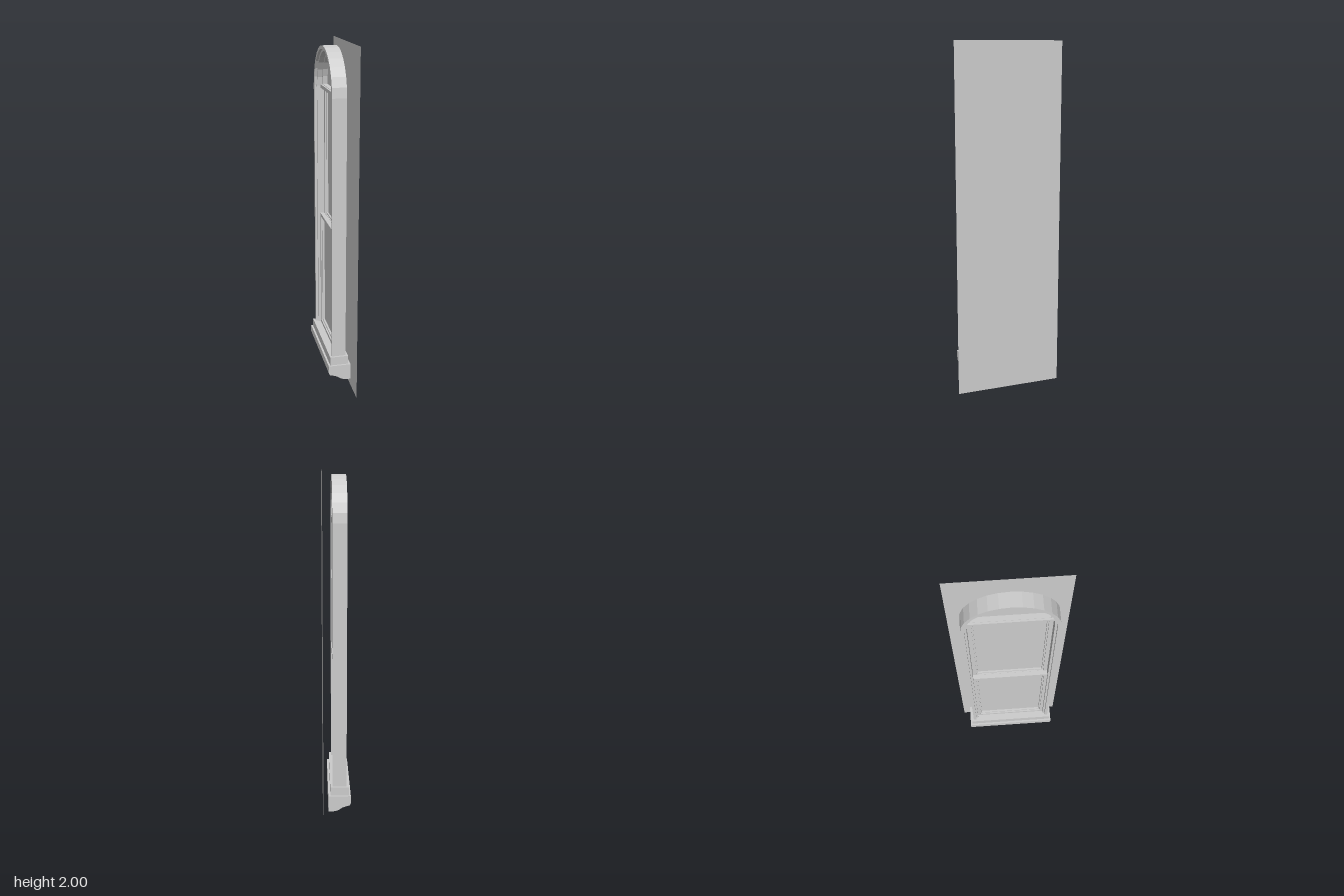
import * as THREE from 'three';

const grey = new THREE.MeshStandardMaterial({ color: 0xcccccc, flatShading: true, side: THREE.DoubleSide });
const CZ = 0.004;      // middle of the window along z
const SPRING = 1.736;  // height where the arch starts

// Outline in the (z, y) plane: a rectangle, or with arched = true a round-headed opening.
function outline(half, bottom, top, arched) {
  const pts = [new THREE.Vector2(-half, bottom), new THREE.Vector2(half, bottom)];
  if (arched) {
    for (let i = 0; i <= 14; i++) {
      const a = (Math.PI * i) / 14;
      pts.push(new THREE.Vector2(half * Math.cos(a), top + half * Math.sin(a)));
    }
  } else {
    pts.push(new THREE.Vector2(half, top), new THREE.Vector2(-half, top));
  }
  return pts;
}

// Extrude an outline, with an optional opening, between two x positions.
function slab(name, outer, inner, x0, x1) {
  const shape = new THREE.Shape(outer);
  if (inner) shape.holes.push(new THREE.Path(inner));
  const geo = new THREE.ExtrudeGeometry(shape, { depth: x1 - x0, bevelEnabled: false });
  geo.rotateY(-Math.PI / 2);
  geo.translate(x1, 0, CZ);
  const mesh = new THREE.Mesh(geo, grey);
  mesh.name = name;
  return mesh;
}

// Rectangular sash: frame, inner bead and pane.
function sash(name, half, bottom, top, rail, x0, x1) {
  const g = new THREE.Group();
  g.name = name;
  const opening = (d) => outline(half - d, bottom + d, top - d, false);
  const mid = (x0 + x1) / 2;
  g.add(slab('sashFrame', opening(0), opening(rail), x0, x1));
  g.add(slab('sashBead', opening(rail), opening(rail + 0.008), mid - 0.004, x1));
  g.add(slab('pane', opening(rail), null, x1 - 0.005, x1 - 0.003));
  return g;
}

export function createModel() {
  const model = new THREE.Group();
  model.name = 'archedWindow';

  // Thin wall panel behind the window
  const panel = new THREE.Mesh(new THREE.PlaneGeometry(0.62, 2), grey);
  panel.name = 'wallPanel';
  panel.rotation.y = Math.PI / 2;
  panel.position.set(0.078, 1, 0);
  model.add(panel);

  // Round-headed casing with a stepped reveal
  const casing = new THREE.Group();
  casing.name = 'casing';
  const arch = (r) => outline(r, 0.25, SPRING, true);
  casing.add(slab('outerCasing', arch(0.244), arch(0.226), -0.054, 0.025));
  casing.add(slab('innerCasing', arch(0.226), arch(0.214), -0.04, 0.025));
  model.add(casing);

  // Lower sash stands in front of the upper one
  model.add(sash('lowerSash', 0.214, 0.255, 0.975, 0.018, -0.025, 0));
  model.add(sash('upperSash', 0.214, 0.955, SPRING, 0.022, 0, 0.022));

  // Half-round light over the transom
  const fan = new THREE.Group();
  fan.name = 'fanlight';
  const half = (r, lift) => outline(r, SPRING + lift, SPRING + lift + 0.002, true);
  fan.add(slab('fanFrame', half(0.214, -0.004), half(0.196, 0.01), -0.012, 0.022));
  fan.add(slab('fanPane', half(0.2, 0), null, 0.016, 0.018));
  fan.add(slab('transom', outline(0.214, SPRING - 0.012, SPRING + 0.008, false), null, -0.022, 0.022));
  model.add(fan);

  // Sill: upper ledge and moulded apron, swept along z
  const sill = new THREE.Group();
  sill.name = 'sill';
  const sweep = (name, points, length) => {
    const shape = new THREE.Shape(points.map(([x, y]) => new THREE.Vector2(x, y)));
    const geo = new THREE.ExtrudeGeometry(shape, { depth: length, bevelEnabled: false });
    geo.translate(0, 0, CZ - length / 2);
    const mesh = new THREE.Mesh(geo, grey);
    mesh.name = name;
    sill.add(mesh);
  };
  sweep('ledge', [[-0.067, 0.205], [0.038, 0.205], [0.038, 0.255], [-0.067, 0.255]], 0.512);
  sweep('apron', [
    [-0.078, 0.205], [-0.079, 0.165], [-0.072, 0.148], [-0.05, 0.142], [-0.03, 0.135],
    [-0.012, 0.122], [0.004, 0.115], [0.022, 0.112], [0.05, 0.11], [0.05, 0.205],
  ], 0.534);
  model.add(sill);

  return model;
}
